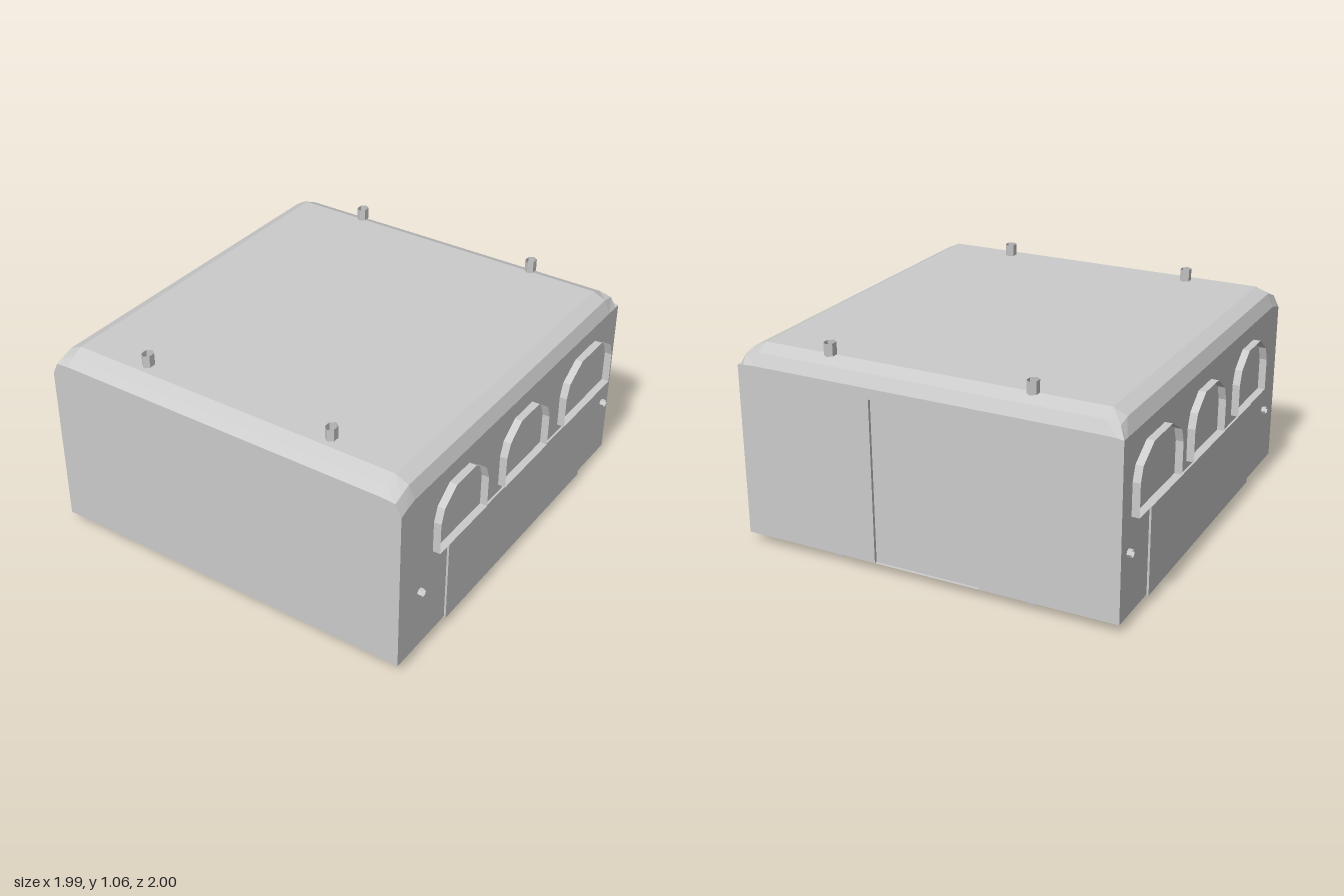
import * as THREE from 'three';

const material = new THREE.MeshStandardMaterial({ color: 0xcccccc, flatShading: true, side: THREE.DoubleSide });
const HALF = 0.96, BASE = 0.05;

// Joins successive rings of [x, y, z] points with flat quads
function loft(rings, closed = true) {
  const pos = [];
  for (let r = 0; r + 1 < rings.length; r++) {
    const a = rings[r], b = rings[r + 1], n = a.length;
    for (let i = 0; i < (closed ? n : n - 1); i++) {
      const j = (i + 1) % n;
      pos.push(...a[i], ...b[i], ...b[j], ...a[i], ...b[j], ...a[j]);
    }
  }
  const geo = new THREE.BufferGeometry();
  geo.setAttribute('position', new THREE.Float32BufferAttribute(pos, 3));
  geo.computeVertexNormals();
  return geo;
}

export function createModel() {
  const model = new THREE.Group();
  model.name = 'shelterBox';
  const body = new THREE.Group();
  body.name = 'body';
  body.position.x = -0.007;
  model.add(body);

  const add = (name, geo, x = 0, y = 0, z = 0) => {
    const mesh = new THREE.Mesh(geo, material);
    mesh.name = name;
    mesh.position.set(x, y, z);
    body.add(mesh);
    return mesh;
  };
  const box = (name, x0, x1, y0, y1, z0, z1) => add(name,
    new THREE.BoxGeometry(Math.abs(x1 - x0), y1 - y0, z1 - z0), (x0 + x1) / 2, (y0 + y1) / 2, (z0 + z1) / 2);

  // Shell: z, then heights of side edge, shoulder and roof
  const sections = [
    [1, 0.875, 0.935, 0.94], [0.96, 0.89, 0.95, 0.97], [0.9, 0.905, 0.97, 1],
    [-0.9, 0.905, 0.97, 1], [-0.97, 0.905, 0.955, 0.97], [-1, 0.905, 0.91, 0.912],
  ];
  const ring = ([z, side, shoulder, roof]) => {
    const right = [[HALF, side, z], [HALF - 0.03, shoulder, z], [HALF - 0.095, roof, z]];
    const left = right.map(([x, y]) => [-x, y, z]).reverse();
    return [[-HALF, BASE, z], [HALF, BASE, z], ...right, ...left];
  };
  const rings = sections.map(ring);
  add('shell', loft(rings));

  // Front wall, and back wall with a doorway notch
  const outline = (r) => r.map(([x, y]) => new THREE.Vector2(x, y));
  add('frontWall', new THREE.ShapeGeometry(new THREE.Shape(outline(rings[0]))), 0, 0, 1);
  const doorway = [[-0.28, BASE], [-0.28, 0.86], [0.26, 0.86], [0.26, BASE]];
  const back = outline(rings[rings.length - 1]);
  back.splice(1, 0, ...doorway.map(([x, y]) => new THREE.Vector2(x, y)));
  const backWall = new THREE.ShapeGeometry(new THREE.Shape(back));
  // Reverse the faces so the wall looks backwards
  const idx = backWall.index.array;
  for (let i = 0; i < idx.length; i += 3) [idx[i], idx[i + 1]] = [idx[i + 1], idx[i]];
  backWall.computeVertexNormals();
  add('backWall', backWall, 0, 0, -1);
  add('doorJamb', loft([-1, -0.985].map((z) => doorway.map(([x, y]) => [x, y, z])), false));
  box('backDoor', -0.28, 0.26, BASE, 0.86, -0.985, -0.98);

  for (const s of [1, -1]) {
    // Open arched window hoods
    const mid = s > 0 ? -0.24 : -0.27;
    for (const [z0, z1, inset] of [[-0.9, -0.415, 0.14], [mid, mid + 0.405, 0.12], [0.33, 0.735, 0.12]]) {
      const arch = [
        [z0, 0.52], [z0, 0.68], [z0 + 0.025, 0.75], [z0 + inset, 0.82],
        [z1 - inset, 0.82], [z1 - 0.025, 0.75], [z1, 0.68], [z1, 0.52],
      ];
      add('windowHood', loft([HALF, HALF + 0.037].map((x) => arch.map(([z, y]) => [s * x, y, z]))));
    }

    // Slightly raised hatch that wraps under the floor
    box('sideHatch', s * (HALF - 0.01), s * (HALF + 0.01), 0.045, 0.48, -0.7, 0.61);
    box('floorHatch', s * 0.53, s * HALF, 0.045, 0.06, -0.7, 0.61);

    // Small side fittings
    for (const z of [0.835, -0.925]) {
      const stud = add('sideStud', new THREE.CylinderGeometry(0.019, 0.019, 0.03, 6, 1, true), s * (HALF + 0.007), 0.363, z);
      stud.rotation.z = Math.PI / 2;
    }

    // Hollow locating pins above and below
    for (const z of [0.84, -0.912]) {
      for (const [name, y, h] of [['roofPin', 1.03, 0.06], ['floorPin', 0.025, 0.05]]) {
        const pin = add(name, new THREE.CylinderGeometry(0.034, 0.034, h, 6, 1, true), s * 0.506, y, z);
        pin.scale.x = 0.8;
      }
    }
  }
  return model;
}
